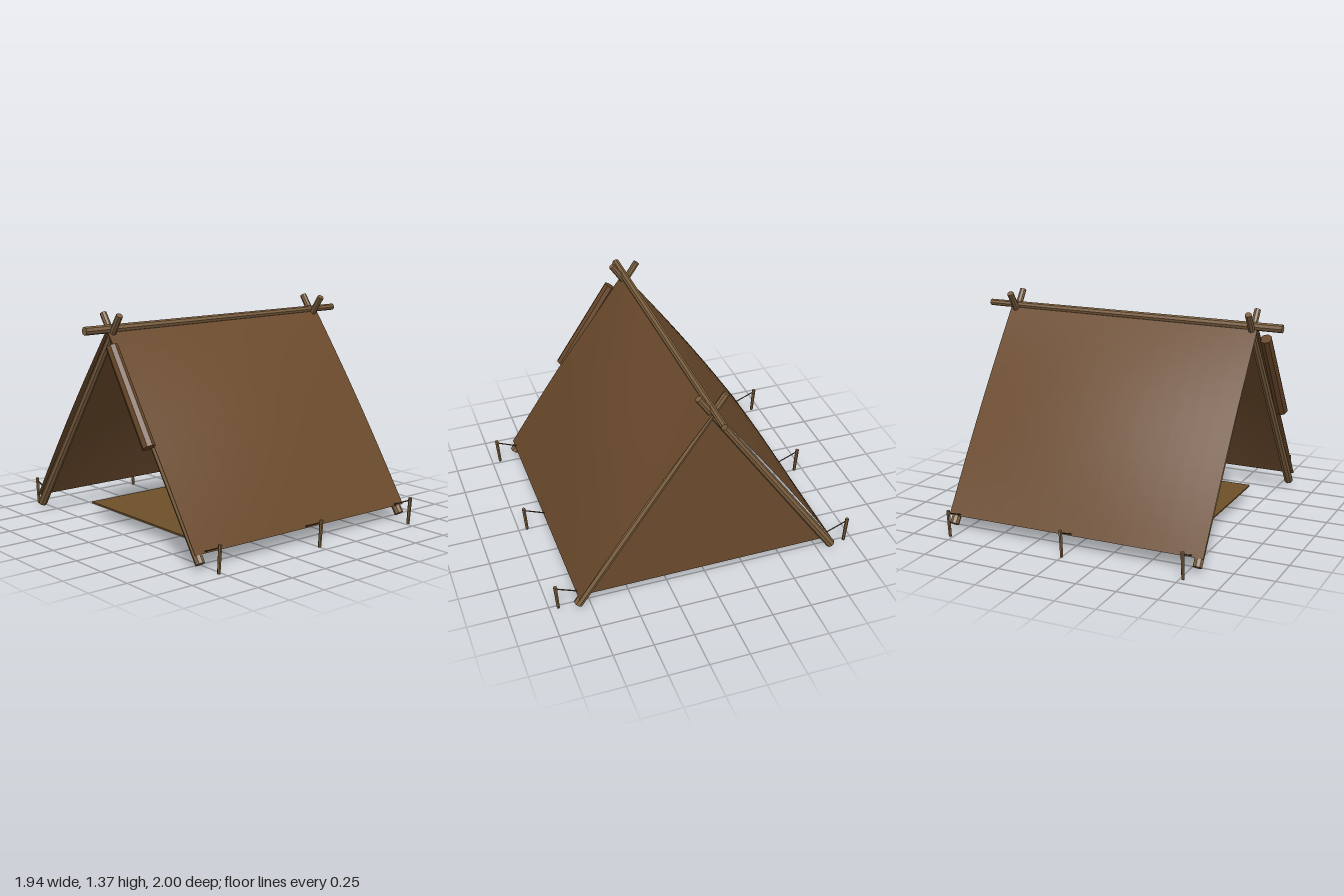
import * as THREE from 'three';

const mat = (name, color, extra = {}) => new THREE.MeshStandardMaterial({ name, color, flatShading: true, ...extra });

// Tapered rod between two points
function rod(name, a, b, ra, rb, sides, material) {
  const p = new THREE.Vector3(...a), q = new THREE.Vector3(...b);
  const dir = q.clone().sub(p);
  const mesh = new THREE.Mesh(new THREE.CylinderGeometry(rb, ra, dir.length(), sides), material);
  mesh.name = name;
  mesh.position.copy(p).add(q).multiplyScalar(0.5);
  mesh.quaternion.setFromUnitVectors(new THREE.Vector3(0, 1, 0), dir.normalize());
  return mesh;
}

// Slanted canvas sheet that billows outward in the middle
function roofSheet(side, material) {
  const geo = new THREE.PlaneGeometry(1, 1, 14, 14);
  const pos = geo.attributes.position;
  const top = [0.01, 1.255], bottom = [0.83, 0.09];
  for (let i = 0; i < pos.count; i++) {
    const u = pos.getX(i) + 0.5, t = 0.5 - pos.getY(i);
    const bulge = Math.sin(Math.PI * t) * (0.015 + 0.04 * Math.sin(Math.PI * u));
    const x = top[0] + (bottom[0] - top[0]) * t + 0.82 * bulge;
    const y = top[1] + (bottom[1] - top[1]) * t + 0.57 * bulge;
    pos.setXYZ(i, side * x, y, side * (0.845 - 1.69 * u));
  }
  geo.computeVertexNormals();
  const mesh = new THREE.Mesh(geo, material);
  mesh.name = side > 0 ? 'leftRoofSheet' : 'rightRoofSheet';
  return mesh;
}

export function createModel() {
  const tent = new THREE.Group();
  tent.name = 'tent';
  const canvas = mat('canvas', 0x6b4a2c, { side: THREE.DoubleSide, flatShading: false });
  const wood = mat('wood', 0x7d6040);
  const rope = mat('rope', 0x5c4730);
  const cloth = mat('rolledCloth', 0x664628);
  const matting = mat('matting', 0x6e5029);

  // Ridge pole and crossed end poles
  tent.add(rod('ridgePole', [0, 1.27, 1], [0, 1.27, -1], 0.026, 0.021, 8, wood));
  for (const z of [0.81, -0.81])
    for (const s of [1, -1])
      tent.add(rod('framePole', [s * 0.832, 0.035, z], [-s * 0.085, 1.355, z], 0.029, 0.021, 8, wood));

  // Roof sheets
  for (const s of [1, -1]) tent.add(roofSheet(s, canvas));

  // Closed back wall
  const triangle = new THREE.Shape([
    new THREE.Vector2(-0.8, 0.09), new THREE.Vector2(0.8, 0.09), new THREE.Vector2(0, 1.235),
  ]);
  const wall = new THREE.Mesh(new THREE.ShapeGeometry(triangle), canvas);
  wall.name = 'backWall';
  wall.position.z = -0.805;
  tent.add(wall);

  // Door flap rolled up along the front edge
  tent.add(rod('rolledFlap', [0.44, 0.638, 0.868], [0.085, 1.18, 0.868], 0.041, 0.038, 8, cloth));

  // Ground mat with a bedroll at the back
  const groundMat = new THREE.Mesh(new THREE.BoxGeometry(0.98, 0.01, 1.37), matting);
  groundMat.name = 'groundMat';
  groundMat.position.set(0, 0.08, -0.035);
  tent.add(groundMat);
  tent.add(rod('bedroll', [-0.38, 0.14, -0.64], [0.38, 0.14, -0.64], 0.062, 0.062, 8, cloth));

  // Stakes and guy ropes
  for (const s of [1, -1])
    for (const z of [0.77, 0, -0.77]) {
      tent.add(rod('stake', [s * 0.945, 0, z], [s * 0.958, 0.17, z], 0.01, 0.012, 6, wood));
      tent.add(rod('guyRope', [s * 0.825, 0.1, z], [s * 0.957, 0.155, z], 0.004, 0.004, 5, rope));
    }
  return tent;
}
